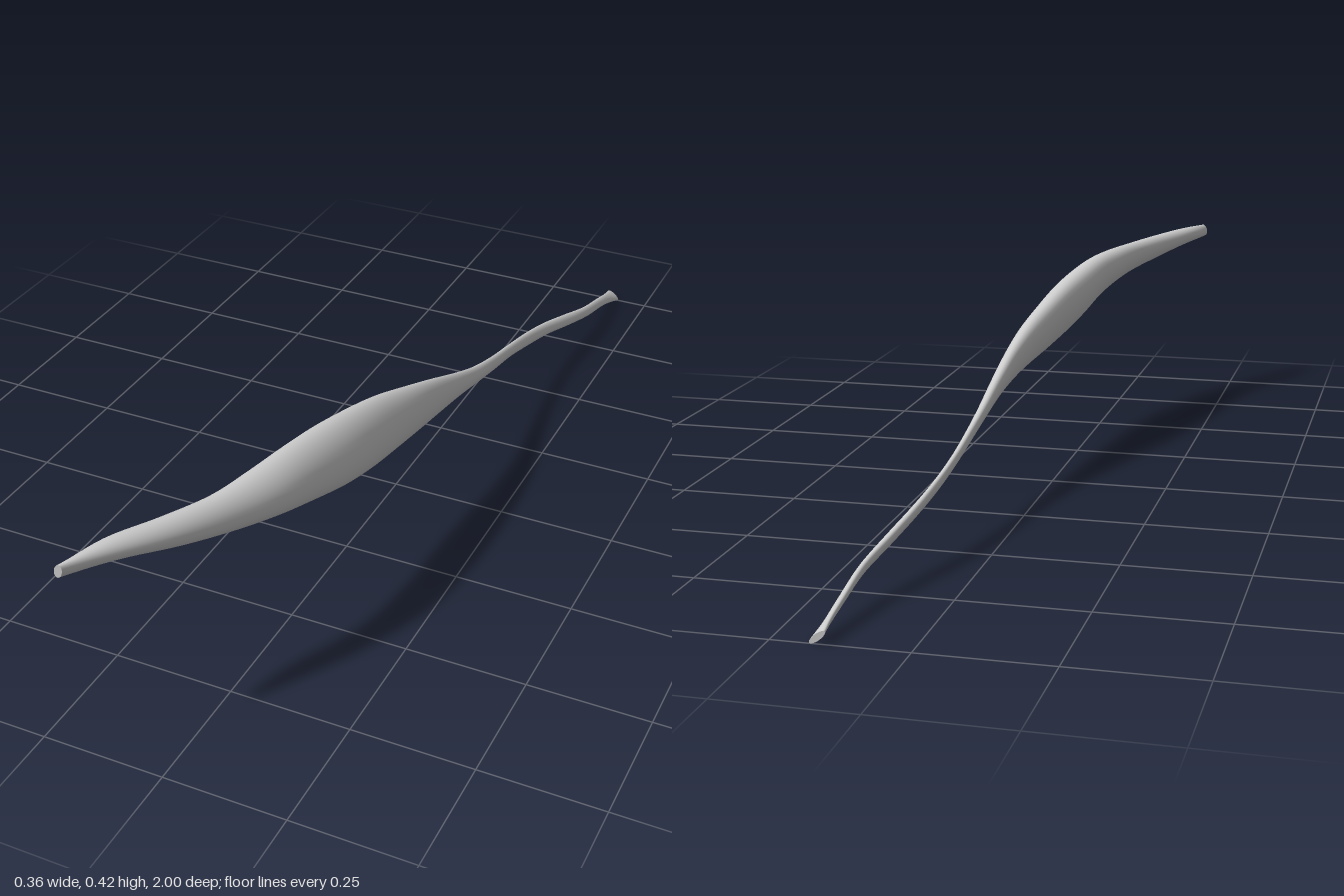
import * as THREE from 'three';

// Stations from front to back: z, x min, x max, y min, y max, skew of the section
const stations = [
  [1.0, -0.18, -0.163, 0.392, 0.42, 0.3],
  [0.9, -0.15, -0.1, 0.38, 0.422, -0.1],
  [0.8, -0.1, -0.04, 0.358, 0.417, -0.2],
  [0.7, -0.057, 0.01, 0.338, 0.412, -0.25],
  [0.6, -0.035, 0.05, 0.318, 0.411, -0.3],
  [0.5, -0.018, 0.073, 0.295, 0.408, -0.35],
  [0.4, -0.005, 0.09, 0.27, 0.398, -0.35],
  [0.3, 0.012, 0.1, 0.252, 0.382, -0.35],
  [0.2, 0.03, 0.106, 0.24, 0.36, -0.35],
  [0.1, 0.052, 0.112, 0.23, 0.33, -0.3],
  [0.0, 0.07, 0.114, 0.218, 0.295, -0.3],
  [-0.1, 0.082, 0.114, 0.202, 0.255, -0.3],
  [-0.2, 0.089, 0.113, 0.18, 0.217, -0.3],
  [-0.3, 0.093, 0.112, 0.158, 0.188, -0.3],
  [-0.4, 0.095, 0.112, 0.138, 0.165, -0.3],
  [-0.5, 0.1, 0.118, 0.116, 0.145, -0.4],
  [-0.6, 0.11, 0.13, 0.096, 0.124, -0.4],
  [-0.7, 0.127, 0.148, 0.073, 0.1, -0.4],
  [-0.8, 0.146, 0.163, 0.051, 0.075, -0.4],
  [-0.9, 0.15, 0.167, 0.029, 0.05, -0.5],
  [-0.96, 0.152, 0.171, 0.012, 0.034, -0.7],
  [-1.0, 0.15, 0.179, 0.0, 0.024, -0.9],
];

const SIDES = 32, RINGS = 126;

// Smooth skewed-oval sections following the centre line
function sectionRings() {
  const centre = new THREE.CatmullRomCurve3(stations.map(
    ([z, x0, x1, y0, y1]) => new THREE.Vector3((x0 + x1) / 2, (y0 + y1) / 2, z)), false, 'catmullrom');
  const size = new THREE.CatmullRomCurve3(stations.map(
    ([, x0, x1, y0, y1, skew]) => new THREE.Vector3((x1 - x0) / 2, (y1 - y0) / 2, skew)), false, 'catmullrom');
  const rings = [];
  for (let i = 0; i <= RINGS; i++) {
    const c = centre.getPoint(i / RINGS), s = size.getPoint(i / RINGS);
    const ring = [];
    for (let j = 0; j < SIDES; j++) {
      const t = (j / SIDES) * Math.PI * 2;
      ring.push(new THREE.Vector3(c.x + s.x * Math.cos(t), c.y + s.y * Math.sin(t + s.z), c.z));
    }
    rings.push(ring);
  }
  return rings;
}

function makeMesh(name, points, index, material) {
  const geometry = new THREE.BufferGeometry().setFromPoints(points);
  geometry.setIndex(index);
  geometry.computeVertexNormals();
  const mesh = new THREE.Mesh(geometry, material);
  mesh.name = name;
  return mesh;
}

// Flat end closing a ring
function endCap(name, ring, facesBack, material) {
  const middle = ring.reduce((sum, p) => sum.add(p), new THREE.Vector3()).divideScalar(SIDES);
  const index = [];
  for (let j = 0; j < SIDES; j++) {
    const k = (j + 1) % SIDES;
    index.push(SIDES, facesBack ? k : j, facesBack ? j : k);
  }
  return makeMesh(name, [...ring, middle], index, material);
}

export function createModel() {
  const group = new THREE.Group();
  group.name = 'muscle';
  const material = new THREE.MeshStandardMaterial({ color: 0xcccccc });
  const rings = sectionRings();

  // Belly tapering into a tendon at each end
  const index = [];
  for (let i = 0; i < RINGS; i++) {
    for (let j = 0; j < SIDES; j++) {
      const k = (j + 1) % SIDES;
      const a = i * SIDES + j, b = a + SIDES, c = i * SIDES + k, d = c + SIDES;
      index.push(a, b, c, c, b, d);
    }
  }
  group.add(makeMesh('muscleBelly', rings.flat(), index, material));

  // Attachment faces
  group.add(endCap('frontAttachment', rings[0], false, material));
  group.add(endCap('backAttachment', rings[RINGS], true, material));
  return group;
}
